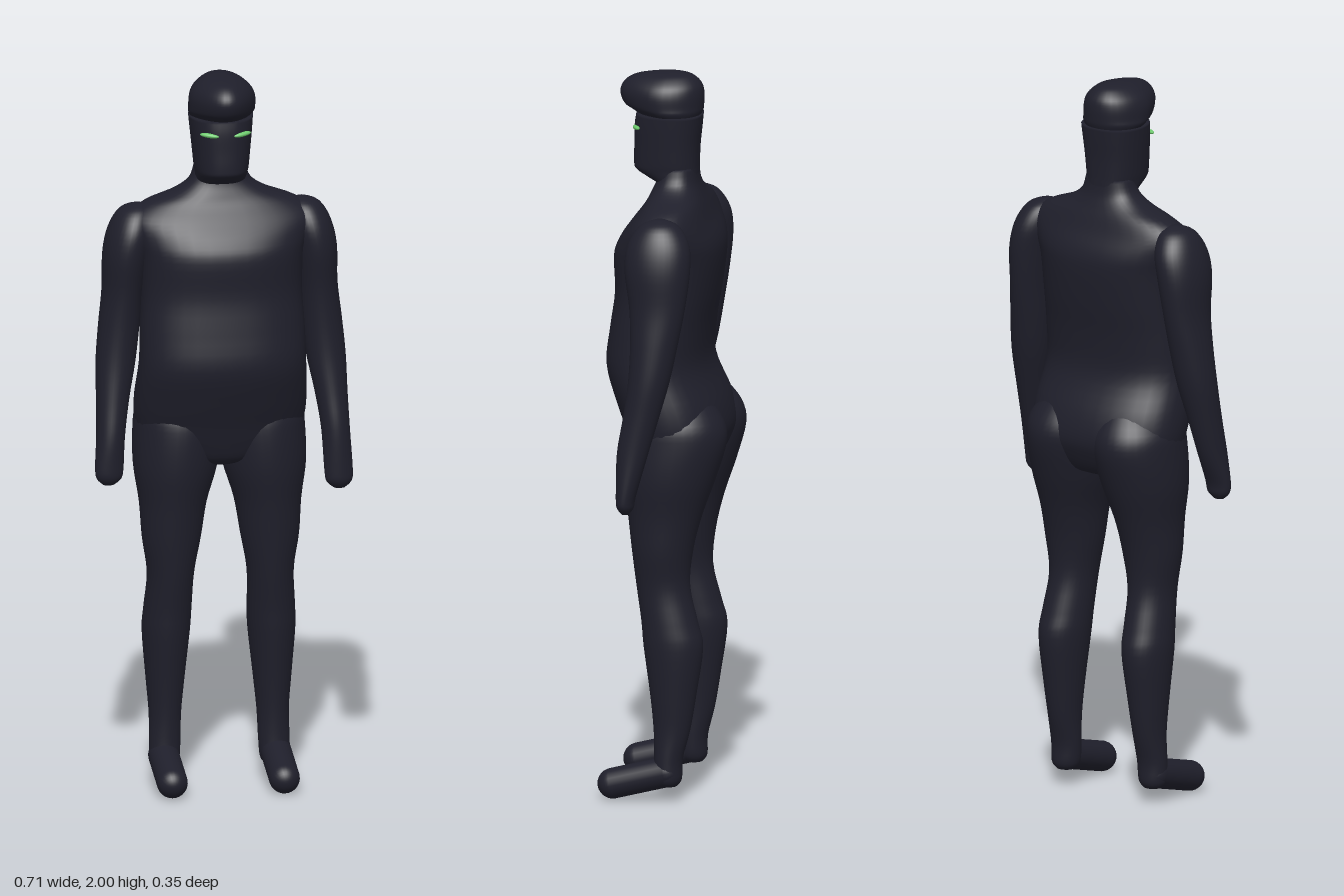
import * as THREE from 'three';

const SEGMENTS = 36, STEPS = 4;

// Catmull-Rom value between b and c
const spline = (a, b, c, d, t) =>
  0.5 * (2 * b + (c - a) * t + (2 * a - 5 * b + 4 * c - d) * t * t + (3 * b - a - 3 * c + d) * t * t * t);

// Smooth closed loft through level sections, lowest first:
// [y, centreX, halfWidth, zFront, zBack]
function loft(sections, power = 2, taper = 0) {
  const rows = [];
  const at = (i) => sections[Math.min(Math.max(i, 0), sections.length - 1)];
  for (let i = 0; i < sections.length - 1; i++) {
    for (let k = 0; k < STEPS; k++) {
      rows.push(at(i).map((v, j) => spline(at(i - 1)[j], v, at(i + 1)[j], at(i + 2)[j], k / STEPS)));
    }
  }
  rows.push(at(sections.length));
  const pos = [], index = [];
  const round = (v) => Math.sign(v) * Math.abs(v) ** (2 / power);
  for (const [y, cx, rx, zf, zb] of rows) {
    for (let i = 0; i < SEGMENTS; i++) {
      const a = (i / SEGMENTS) * Math.PI * 2;
      const c = round(Math.cos(a)), s = round(Math.sin(a));
      pos.push(cx + rx * c * (1 - taper * Math.max(0, s)), y, (zf + zb) / 2 + ((zf - zb) / 2) * s);
    }
  }
  const last = (rows.length - 1) * SEGMENTS, bottom = rows.length * SEGMENTS, top = bottom + 1;
  for (const [y, cx, , zf, zb] of [rows[0], rows[rows.length - 1]]) pos.push(cx, y, (zf + zb) / 2);
  for (let i = 0; i < SEGMENTS; i++) {
    const n = (i + 1) % SEGMENTS;
    for (let r = 0; r < last; r += SEGMENTS) {
      const a = r + i, b = r + n;
      index.push(a, a + SEGMENTS, b, b, a + SEGMENTS, b + SEGMENTS);
    }
    index.push(bottom, i, n, top, last + n, last + i);
  }
  const g = new THREE.BufferGeometry();
  g.setAttribute('position', new THREE.Float32BufferAttribute(pos, 3));
  g.setIndex(index);
  g.computeVertexNormals();
  return g;
}

export function createModel() {
  const model = new THREE.Group();
  const suit = new THREE.MeshStandardMaterial({ color: 0x1f1f2b });
  suit.name = 'darkSuit';
  const glow = new THREE.MeshStandardMaterial({ color: 0x6cc86c });
  glow.name = 'greenEyes';
  const add = (name, geometry, material = suit) => {
    const mesh = new THREE.Mesh(geometry, material);
    mesh.name = name;
    model.add(mesh);
    return mesh;
  };

  // Torso with belly, chest and sloping shoulders
  add('torso', loft([
    [0.91, 0, 0.05, 0.05, -0.07], [0.93, 0, 0.14, 0.085, -0.12], [0.98, 0, 0.215, 0.105, -0.15],
    [1.03, 0, 0.232, 0.12, -0.163], [1.1, 0, 0.235, 0.145, -0.148], [1.2, 0, 0.228, 0.173, -0.105],
    [1.3, 0, 0.225, 0.163, -0.108], [1.4, 0, 0.22, 0.15, -0.125], [1.5, 0, 0.225, 0.153, -0.137],
    [1.55, 0, 0.24, 0.135, -0.132], [1.6, 0, 0.255, 0.1, -0.11], [1.64, 0, 0.21, 0.07, -0.095],
    [1.67, 0, 0.13, 0.055, -0.083], [1.7, 0, 0.085, 0.043, -0.073], [1.74, 0, 0.07, 0.035, -0.068],
  ], 2.3));

  // Neck, jaw, face and swept-forward hair
  add('head', loft([
    [1.66, 0, 0.075, 0.03, -0.07], [1.69, 0, 0.072, 0.036, -0.07], [1.71, 0, 0.071, 0.07, -0.07],
    [1.73, 0, 0.072, 0.102, -0.07], [1.75, 0, 0.075, 0.107, -0.07], [1.8, 0, 0.08, 0.106, -0.072],
    [1.85, 0, 0.085, 0.105, -0.077], [1.885, 0, 0.088, 0.1, -0.08],
  ], 2.6, 0.15));
  add('hair', loft([
    [1.88, 0, 0.08, 0.09, -0.075], [1.895, 0, 0.09, 0.115, -0.081], [1.91, 0, 0.091, 0.137, -0.083],
    [1.94, 0, 0.09, 0.147, -0.084], [1.965, 0, 0.08, 0.138, -0.079], [1.985, 0, 0.058, 0.112, -0.062],
    [1.995, 0, 0.036, 0.07, -0.042], [2.0, 0, 0.01, 0.02, -0.01],
  ], 2.1, 0.3));

  for (const [side, label, handEnd] of [[1, 'left', 0.835], [-1, 'right', 0.87]]) {
    // Arm ending in a rounded mitten hand
    add(label + 'Arm', loft([
      [handEnd, 0.317, 0.015, 0.07, 0.05], [handEnd + 0.018, 0.316, 0.034, 0.083, 0.038],
      [handEnd + 0.05, 0.315, 0.039, 0.086, 0.032],
      [1.0, 0.309, 0.039, 0.085, 0.0], [1.1, 0.3, 0.045, 0.07, -0.028], [1.2, 0.289, 0.054, 0.058, -0.055],
      [1.3, 0.278, 0.056, 0.055, -0.075], [1.4, 0.268, 0.055, 0.06, -0.093], [1.5, 0.259, 0.062, 0.075, -0.105],
      [1.57, 0.245, 0.061, 0.07, -0.1], [1.62, 0.232, 0.045, 0.04, -0.07], [1.638, 0.225, 0.012, 0, -0.03],
    ].map(([y, x, ...rest]) => [y, x * side, ...rest])));

    // Leg from buttock to ankle
    add(label + 'Leg', loft([
      [0.045, 0.152, 0.025, 0.0, -0.045], [0.065, 0.152, 0.04, 0.02, -0.058], [0.12, 0.15, 0.043, 0.018, -0.06],
      [0.2, 0.148, 0.044, 0.02, -0.08], [0.3, 0.147, 0.053, 0.03, -0.097], [0.43, 0.145, 0.065, 0.048, -0.115],
      [0.5, 0.142, 0.065, 0.055, -0.1], [0.6, 0.137, 0.064, 0.07, -0.077], [0.7, 0.135, 0.08, 0.083, -0.085],
      [0.8, 0.13, 0.092, 0.095, -0.11], [0.9, 0.122, 0.114, 0.11, -0.145], [1.0, 0.115, 0.12, 0.112, -0.173],
      [1.06, 0.11, 0.115, 0.1, -0.163], [1.12, 0.1, 0.08, 0.06, -0.12],
    ].map(([y, x, ...rest]) => [y, x * side, ...rest])));

    // Foot, toes sloping down
    const foot = add(label + 'Foot', new THREE.CapsuleGeometry(0.042, 0.153, 10, 24));
    foot.rotation.x = Math.PI / 2 + 0.26;
    foot.position.set(0.154 * side, 0.063, 0.059);

    // Slit eye following the face
    const eye = add(label + 'Eye', new THREE.SphereGeometry(1, 20, 12), glow);
    eye.scale.set(0.027, 0.0065, 0.009);
    eye.rotation.set(0, 0.4 * side, 0.08 * side);
    eye.position.set(0.045 * side, 1.848, 0.093);
  }
  return model;
}
